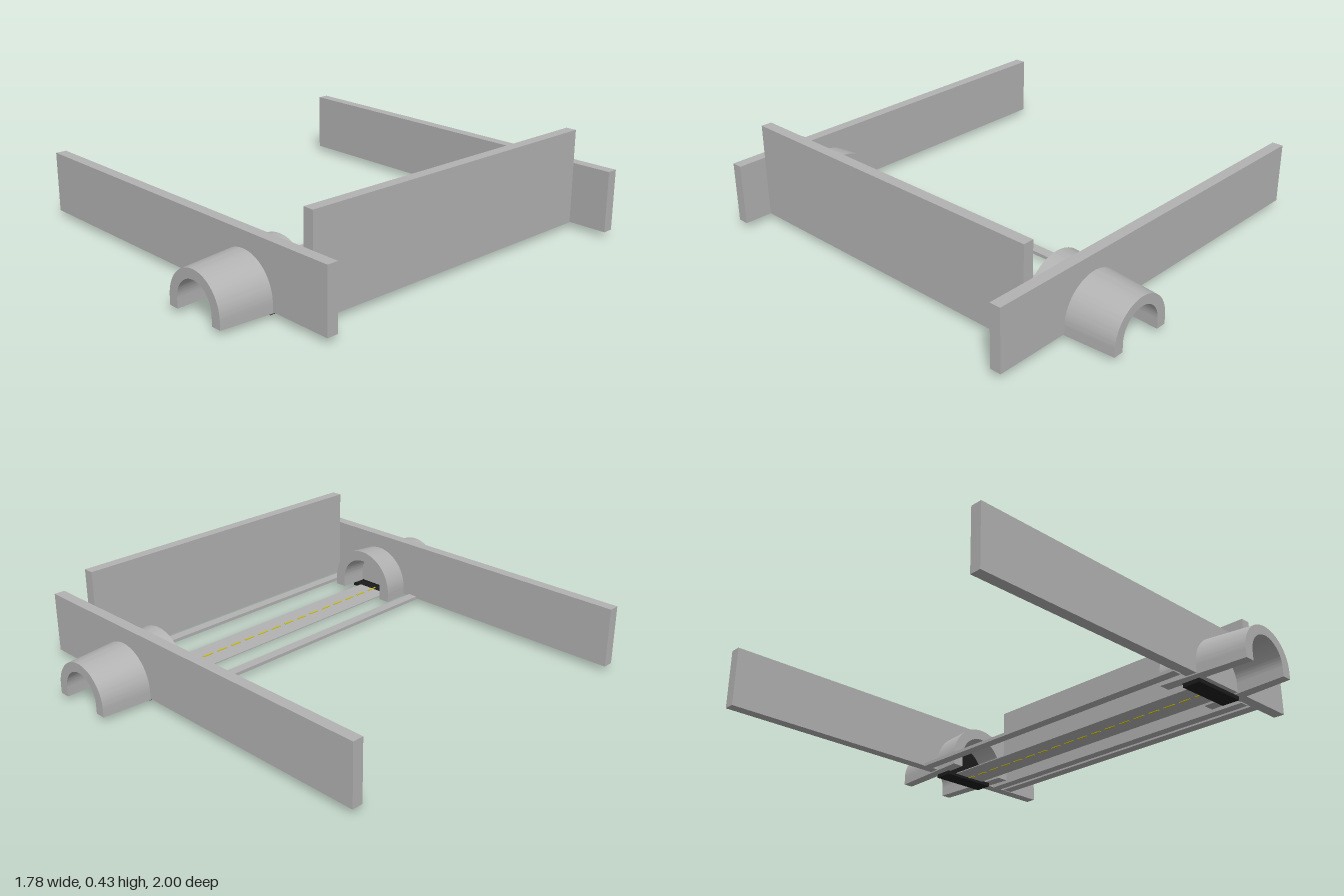
import * as THREE from 'three';
import { toCreasedNormals } from 'three/addons/utils/BufferGeometryUtils.js';

const ROAD_X = 0.4;
const BASE_Y = 0.02;
const MOUTH_Z = 1, INNER_Z = 0.61, FLARE = 1.17;

function material(name, color, side = THREE.FrontSide) {
  const m = new THREE.MeshStandardMaterial({ color, side });
  m.name = name;
  return m;
}

// Arch outline standing on y = 0, with straight legs below a half circle
function archOutline(path, radius, springY) {
  path.moveTo(radius, 0);
  path.lineTo(radius, springY);
  path.absarc(0, springY, radius, 0, Math.PI, false);
  path.lineTo(-radius, 0);
  return path;
}

// Half-tunnel that widens from the outer mouth towards the road
function tunnelGeometry() {
  const shape = archOutline(new THREE.Shape(), 0.145, 0.035);
  shape.lineTo(-0.1, 0);
  shape.lineTo(-0.1, 0.04);
  shape.absarc(0, 0.04, 0.1, Math.PI, 0, true);
  shape.lineTo(0.1, 0);
  shape.closePath();
  const length = MOUTH_Z - INNER_Z;
  const g = new THREE.ExtrudeGeometry(shape, { depth: length, bevelEnabled: false, curveSegments: 28 });
  const p = g.attributes.position;
  for (let i = 0; i < p.count; i++) {
    const s = THREE.MathUtils.lerp(FLARE, 1, p.getZ(i) / length);
    p.setXY(i, p.getX(i) * s, p.getY(i) * s);
  }
  return toCreasedNormals(g, 0.5);
}

export function createModel() {
  const model = new THREE.Group();
  model.name = 'walledRoad';
  const grey = material('grey', 0xb2b2b2);
  const black = material('black', 0x1c1c1c, THREE.DoubleSide);
  const yellow = material('yellow', 0xc8bc10);

  function add(name, geometry, mat, x = 0, y = 0, z = 0, parent = model) {
    const mesh = new THREE.Mesh(geometry, mat);
    mesh.name = name;
    mesh.position.set(x, y, z);
    parent.add(mesh);
    return mesh;
  }

  // Box given by its limits on each axis
  function block(name, mat, [x0, x1], [y0, y1], [z0, z1], parent = model) {
    return add(name, new THREE.BoxGeometry(x1 - x0, y1 - y0, z1 - z0), mat,
      (x0 + x1) / 2, (y0 + y1) / 2, (z0 + z1) / 2, parent);
  }

  // Walls
  block('frontWall', grey, [-0.89, 0.838], [0.025, 0.287], [0.732, 0.78]);
  block('backWall', grey, [-0.87, 0.886], [0.025, 0.287], [-0.785, -0.737]);
  block('sideWall', grey, [0.668, 0.715], [0.025, 0.432], [-0.732, 0.732]);

  // Kerbs and road
  block('rightKerb', grey, [0.156, 0.201], [0.02, 0.034], [-0.735, 0.735]);
  block('leftKerb', grey, [0.597, 0.641], [0.02, 0.034], [-0.735, 0.735]);
  block('road', grey, [0.318, 0.482], [0.012, 0.016], [-0.735, 0.735]);

  // Dashed centre line, showing on both faces of the road
  const dashes = new THREE.Group();
  dashes.name = 'centreLine';
  model.add(dashes);
  const dash = new THREE.BoxGeometry(0.008, 0.009, 0.052);
  for (let i = 0; i < 18; i++) {
    add('dash', dash, yellow, ROAD_X, 0.014, (i - 8.5) * 0.08, dashes);
  }

  // A tunnel at each end, closed by a dark panel with a dark sill
  const tunnel = tunnelGeometry();
  const panel = new THREE.ShapeGeometry(archOutline(new THREE.Shape(), 0.114, 0.045), 28);
  for (const end of [1, -1]) {
    const group = new THREE.Group();
    group.name = end > 0 ? 'frontTunnel' : 'backTunnel';
    group.position.x = ROAD_X;
    group.rotation.y = end > 0 ? 0 : Math.PI;
    model.add(group);
    add('tunnelArch', tunnel, grey, 0, BASE_Y, INNER_Z, group);
    add('tunnelPanel', panel, black, 0, 0.014, 0.735, group);
    block('tunnelSill', black, [-0.13, 0.13], [0, 0.017], [0.69, 0.77], group);
  }
  return model;
}
